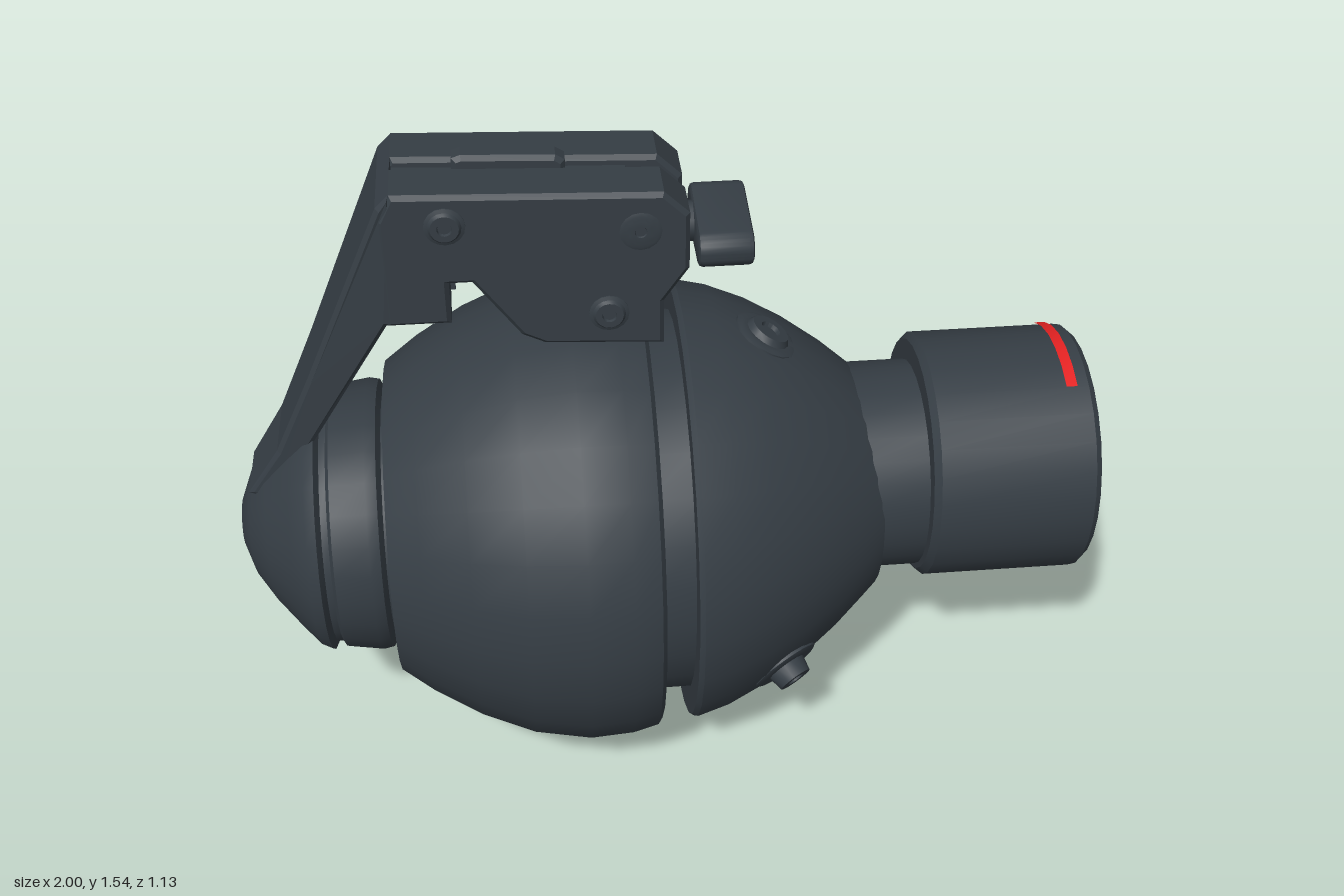
import * as THREE from 'three';
import { toCreasedNormals } from 'three/addons/utils/BufferGeometryUtils.js';

const SEG = 28;

export function createModel() {
  const root = new THREE.Group();
  const mat = (name, color) => new THREE.MeshStandardMaterial({ name, color });
  const dark = mat('dark slate', 0x353d44);
  const red = mat('lens red', 0xe52222);
  const orange = mat('rim orange', 0xd8602f);

  const add = (name, geo, material = dark, parent = root) => {
    const mesh = new THREE.Mesh(geo, material);
    mesh.name = name;
    parent.add(mesh);
    return mesh;
  };

  // Turned part along x: profile of [x, radius], axis height given by centre(x)
  const turned = (name, profile, centre, material = dark, segs = SEG, start = 0, sweep = Math.PI * 2) => {
    const pts = profile.map(([x, r]) => new THREE.Vector2(Math.max(r, 0.001), x));
    const geo = new THREE.LatheGeometry(pts, segs, start, sweep).rotateZ(-Math.PI / 2);
    const p = geo.attributes.position;
    for (let i = 0; i < p.count; i++) p.setY(i, p.getY(i) + centre(p.getX(i)));
    return add(name, toCreasedNormals(geo, 0.5), material);
  };

  // Side outline extruded symmetrically about z = z0, optional taper rule on z
  const slab = (name, outline, z0, depth, bevel = 0.01, taper = null) => {
    const shape = new THREE.Shape(outline.map(([x, y]) => new THREE.Vector2(x, y)));
    const geo = new THREE.ExtrudeGeometry(shape, {
      depth: depth - 2 * bevel, bevelEnabled: bevel > 0, bevelSize: bevel,
      bevelThickness: bevel, bevelOffset: -bevel, bevelSegments: 1,
    });
    geo.translate(0, 0, bevel - depth / 2);
    const p = geo.attributes.position;
    if (taper) for (let i = 0; i < p.count; i++) p.setZ(i, p.getZ(i) * taper(p.getX(i)));
    geo.translate(0, 0, z0);
    geo.computeVertexNormals();
    return add(name, geo);
  };

  // Shell: two halves around a recessed groove; the front half drifts upward
  const axis = (x) => 0.57 + 0.025 * THREE.MathUtils.clamp((x - 0.04) / 0.46, 0, 1);
  turned('rearShell', [[-0.635, 0.28], [-0.635, 0.375], [-0.56, 0.43], [-0.45, 0.494], [-0.33, 0.543],
    [-0.2, 0.566], [-0.1, 0.56], [-0.04, 0.545], [-0.03, 0.53], [-0.03, 0.43]], axis);
  turned('frontShell', [[0.043, 0.43], [0.043, 0.525], [0.055, 0.533], [0.13, 0.513], [0.22, 0.473],
    [0.31, 0.419], [0.4, 0.352], [0.47, 0.29], [0.505, 0.258], [0.51, 0.2]], axis);
  turned('groove', [[-0.06, 0.46], [0.06, 0.46]], axis);

  // Rear cap
  turned('rearCap', [[-1, 0], [-0.992, 0.06], [-0.965, 0.13], [-0.92, 0.195], [-0.86, 0.265], [-0.82, 0.308],
    [-0.795, 0.32], [-0.785, 0.3], [-0.77, 0.302], [-0.762, 0.315], [-0.68, 0.327], [-0.655, 0.322],
    [-0.645, 0.3], [-0.62, 0.3]], () => 0.577);

  // Neck and barrel
  turned('neck', [[0.46, 0.25], [0.62, 0.25]], () => 0.64);
  const lensAxis = () => 0.664;
  turned('barrel', [[0.61, 0.2], [0.61, 0.28], [0.625, 0.295], [0.985, 0.295], [1, 0.282], [1, 0.262],
    [0.985, 0.255]], lensAxis);

  // Inner wall: an orange band that sits deeper on the left side than on the right
  const step = Math.PI * 2 / SEG;
  const leftArc = [15, 19 * step, 15 * step];
  const rightArc = [13, 6 * step, 13 * step];
  turned('leftLip', [[0.985, 0.255], [0.955, 0.246]], lensAxis, red, ...leftArc);
  turned('leftBand', [[0.955, 0.246], [0.9, 0.218]], lensAxis, orange, ...leftArc);
  turned('leftWall', [[0.9, 0.218], [0.88, 0.212]], lensAxis, red, ...leftArc);
  turned('rightBand', [[0.985, 0.255], [0.915, 0.244]], lensAxis, orange, ...rightArc);
  turned('rightWall', [[0.915, 0.244], [0.88, 0.212]], lensAxis, red, ...rightArc);
  turned('lens', [[0.88, 0.212], [0.86, 0.195], [0.825, 0.13], [0.81, 0.06], [0.805, 0]], lensAxis, red);
  turned('barrelMark', [[0.931, 0.3], [0.957, 0.3]], lensAxis, red, 5, 18.5 * step, 4.5 * step);

  // Handle head: two side plates with a slot between them
  const Z = -0.006;
  const head = [[-0.6, 1.46], [-0.57, 1.52], [0, 1.498], [0.055, 1.445], [0.055, 1.31], [0, 1.23], [0, 1.12],
    [-0.26, 1.135], [-0.31, 1.16], [-0.41, 1.3], [-0.46, 1.3], [-0.46, 1.2], [-0.6, 1.2]];
  for (const s of [-1, 1]) slab(s > 0 ? 'handlePlateFront' : 'handlePlateBack', head, Z + s * 0.081, 0.126);
  slab('handleCore', [[-0.6, 1.44], [-0.57, 1.5], [-0.48, 1.495], [-0.07, 1.48], [-0.05, 1.38], [-0.02, 1.38],
    [-0.02, 1.06], [-0.3, 1.1], [-0.41, 1.31], [-0.45, 1.31], [-0.45, 1.21], [-0.6, 1.21]], Z, 0.038, 0);
  slab('topKey', [[-0.44, 1.48], [-0.44, 1.535], [-0.42, 1.542], [-0.22, 1.533], [-0.2, 1.52], [-0.2, 1.45]], Z, 0.055);

  // Strap running down to the cap, narrowing toward its end
  slab('handleStrap', [[-0.57, 1.52], [-0.6, 1.49], [-0.79, 1.045], [-0.88, 0.845], [-0.96, 0.72], [-0.9, 0.7],
    [-0.79, 0.88], [-0.6, 1.2], [-0.55, 1.2]], Z, 0.285, 0.01,
  (x) => 1 - 0.42 * THREE.MathUtils.clamp((-0.6 - x) / 0.35, 0, 1));

  // Round fittings: base disc, button and socket facing direction n
  const fitting = (name, pos, n, rBase, rButton, height) => {
    const g = new THREE.Group();
    g.name = name;
    g.position.set(...pos);
    g.quaternion.setFromUnitVectors(new THREE.Vector3(0, 1, 0), new THREE.Vector3(...n).normalize());
    const prof = [[rBase, -0.02], [rBase, 0.002], [rBase - 0.01, 0.006], [rButton, 0.006],
      [rButton * 0.85, height], [rButton * 0.45, height], [rButton * 0.4, height * 0.5], [0.001, height * 0.5]];
    const geo = new THREE.LatheGeometry(prof.map(([r, y]) => new THREE.Vector2(r, y)), 16);
    add(name + 'Disc', toCreasedNormals(geo, 0.5), dark, g);
    root.add(g);
  };
  for (const s of [-1, 1]) {
    const z = Z + s * 0.144;
    fitting('upperScrew', [-0.46, 1.445, z], [0, 0, s], 0.044, 0.036, 0.013);
    fitting('lowerScrew', [-0.12, 1.21, z], [0, 0, s], 0.044, 0.036, 0.013);
    fitting('pivotDisc', [-0.05, 1.41, z - s * 0.003], [0, 0, s], 0.048, 0.03, 0.007);
  }
  fitting('sideButton', [0.265, 0.343, 0.372], [0.55, -0.5, 0.8], 0.085, 0.048, 0.042);
  fitting('topButton', [0.25, 1.03, -0.005], [0.5, 0.87, 0], 0.08, 0.055, 0.02);

  // Safety lever at the front of the handle: a rounded bar on a short pin
  const pin = add('leverPin', new THREE.CylinderGeometry(0.045, 0.045, 0.08, 12).rotateZ(Math.PI / 2));
  pin.position.set(0.06, 1.345, Z);
  const bar = new THREE.Shape();
  bar.absarc(-0.085, 0, 0.034, Math.PI / 2, Math.PI * 1.5);
  bar.absarc(0.068, 0, 0.045, -Math.PI / 2, Math.PI / 2);
  const barGeo = new THREE.ExtrudeGeometry(bar, {
    depth: 0.1, bevelSize: 0.008, bevelThickness: 0.01, bevelSegments: 2, curveSegments: 8,
  }).rotateY(Math.PI / 2);
  const lever = add('lever', toCreasedNormals(barGeo, 0.5));
  lever.position.set(0.085, 1.345, 0.012);
  lever.rotation.x = 0.08;

  return root;
}
